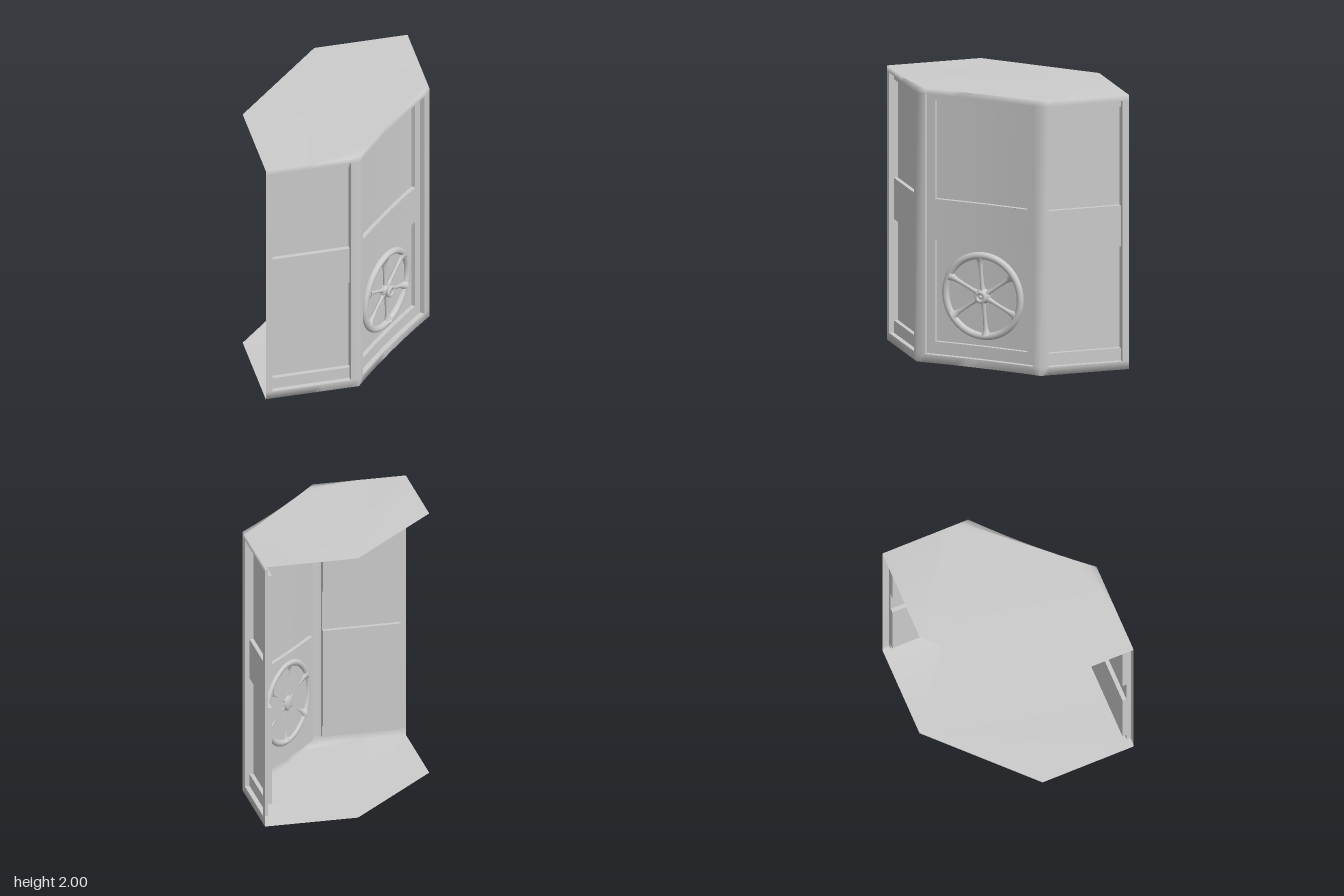
import * as THREE from 'three';
import { mergeGeometries, mergeVertices } from 'three/addons/utils/BufferGeometryUtils.js';

const material = new THREE.MeshStandardMaterial({ color: 0xcccccc, side: THREE.DoubleSide });
const H = 2, REC_Y0 = 0.06, REC_Y1 = 1.96;
const RECESS = 0.035, PANEL = 0.065;
const PANELS = [[0.15, 0.89], [1.19, 1.91]];
const SEGS = 8;

// Plan corners of the three walls, running left to right as seen from outside
const corners = [[-0.68, 0.68], [0, 0.68], [0.68, -0.02], [0.68, -0.68]];
// Recess margins and panel margins within the recess; the middle wall sags inward
const walls = [
  { name: 'frontWall', m0: 0.05, m1: 0.06, inset: 0, sag: 0 },
  { name: 'diagonalWall', m0: 0.062, m1: 0.062, inset: 0.062, sag: 0.018 },
  { name: 'rightWall', m0: 0.06, m1: 0.05, inset: 0, sag: 0 },
];

walls.forEach((w, i) => {
  const a = new THREE.Vector2(...corners[i]), b = new THREE.Vector2(...corners[i + 1]);
  w.length = a.distanceTo(b);
  const r = b.clone().sub(a).normalize();
  w.normal = new THREE.Vector3(-r.y, 0, r.x);
  // wall coordinates (along, up, depth inward) to model space
  w.at = (u, y, d) => {
    const t = u / w.length, depth = d + w.sag * 4 * t * (1 - t);
    return new THREE.Vector3(a.x + r.x * u - w.normal.x * depth, y, a.y + r.y * u - w.normal.z * depth);
  };
  w.u0 = w.m0;
  w.u1 = w.length - w.m1;
  w.us = [0];
  for (let k = 0; k <= SEGS; k++) w.us.push(w.u0 + (w.u1 - w.u0) * k / SEGS);
  w.us.push(w.length);
});

function mesh(geometry, name) {
  const m = new THREE.Mesh(geometry, material);
  m.name = name;
  return m;
}

// Sheet spanned by two edge vectors in wall coordinates
function patch(w, o, e1, e2, segs = SEGS) {
  const g = new THREE.PlaneGeometry(1, 1, segs, 1);
  const p = g.attributes.position;
  for (let i = 0; i < p.count; i++) {
    const s = p.getX(i) + 0.5, t = p.getY(i) + 0.5;
    const q = o.map((v, k) => v + e1[k] * s + e2[k] * t);
    p.setXYZ(i, ...w.at(...q).toArray());
  }
  g.computeVertexNormals();
  return g;
}

const flat = (w, u0, u1, y0, y1, d) => patch(w, [u0, y0, d], [u1 - u0, 0, 0], [0, y1 - y0, 0]);

// Four sides of a rectangular step between two depths
function step(w, u0, u1, y0, y1, d0, d1) {
  const du = u1 - u0, dy = y1 - y0, dd = d1 - d0;
  return [
    patch(w, [u0, y0, d1], [du, 0, 0], [0, 0, -dd]),
    patch(w, [u0, y1, d0], [du, 0, 0], [0, 0, dd]),
    patch(w, [u0, y0, d0], [0, 0, dd], [0, dy, 0], 1),
    patch(w, [u1, y0, d1], [0, 0, -dd], [0, dy, 0], 1),
  ];
}

// Recessed field of a wall with two deeper panels
function recess(w) {
  const p0 = w.u0 + w.inset, p1 = w.u1 - w.inset;
  const parts = step(w, w.u0, w.u1, REC_Y0, REC_Y1, 0, RECESS);
  const rails = [REC_Y0, ...PANELS.flat(), REC_Y1];
  for (let i = 0; i < rails.length; i += 2) {
    parts.push(flat(w, w.u0, w.u1, rails[i], rails[i + 1], RECESS));
  }
  for (const [y0, y1] of PANELS) {
    parts.push(...step(w, p0, p1, y0, y1, RECESS, PANEL), flat(w, p0, p1, y0, y1, PANEL));
    if (w.inset) parts.push(flat(w, w.u0, p0, y0, y1, RECESS), flat(w, p1, w.u1, y0, y1, RECESS));
  }
  return mesh(mergeGeometries(parts), w.name + 'Panels');
}

// Wall borders, roof and floor welded into one smooth shell
function shell() {
  const parts = [], outline = [];
  const ys = [0, REC_Y0, REC_Y1, H];
  for (const w of walls) {
    for (let i = 0; i < w.us.length - 1; i++) {
      for (let j = 0; j < 3; j++) {
        if (j === 1 && i > 0 && i < w.us.length - 2) continue;
        parts.push(patch(w, [w.us[i], ys[j], 0], [w.us[i + 1] - w.us[i], 0, 0], [0, ys[j + 1] - ys[j], 0], 1));
      }
      outline.push(w.at(w.us[i], 0, 0));
    }
  }
  // open back corners close the plan
  for (const [x, z] of [[0.68, -0.68], [0, -0.68], [-0.68, -0.02]]) outline.push(new THREE.Vector3(x, 0, z));
  const plan = new THREE.Shape(outline.map(v => new THREE.Vector2(v.x, -v.z)));
  const roof = new THREE.ShapeGeometry(plan).rotateX(-Math.PI / 2).translate(0, H, 0);
  const floor = new THREE.ShapeGeometry(plan).rotateX(-Math.PI / 2);
  const ix = floor.index.array;
  for (let i = 0; i < ix.length; i += 3) [ix[i], ix[i + 1]] = [ix[i + 1], ix[i]];
  const merged = mergeGeometries([...parts, roof, floor]);
  merged.deleteAttribute('normal');
  merged.deleteAttribute('uv');
  const g = mergeVertices(merged, 1e-4);
  g.computeVertexNormals();
  return mesh(g, 'cabinetShell');
}

const lathe = (pts, n) => new THREE.LatheGeometry(pts.map(p => new THREE.Vector2(...p)), n);

// Six-spoked wheel set against the lower middle panel
function wheel() {
  const g = new THREE.Group();
  g.name = 'wheel';
  const rim = mesh(new THREE.TorusGeometry(0.294, 0.026, 12, 64), 'wheelRim');
  g.add(rim);
  const hub = lathe([[0, -0.03], [0.04, -0.03], [0.055, -0.015], [0.055, 0.012], [0.04, 0.02], [0.04, 0.03],
    [0.046, 0.035], [0.046, 0.048], [0.038, 0.055], [0.022, 0.055], [0.02, 0.04], [0.012, 0.04], [0.01, 0.05], [0, 0.05]], 24);
  g.add(mesh(hub.rotateX(Math.PI / 2), 'wheelHub'));
  const spoke = lathe([[0.022, 0.04], [0.014, 0.09], [0.013, 0.17], [0.017, 0.23], [0.024, 0.26], [0.04, 0.285]], 10);
  spoke.scale(1, 1, 0.9);
  for (let i = 0; i < 6; i++) {
    const s = mesh(spoke, 'wheelSpoke');
    s.rotation.z = THREE.MathUtils.degToRad(5 + 60 * i);
    g.add(s);
  }
  const w = walls[1];
  g.position.copy(w.at(w.length / 2, 0.515, PANEL - 0.012));
  g.rotation.y = Math.atan2(w.normal.x, w.normal.z);
  return g;
}

export function createModel() {
  const group = new THREE.Group();
  group.name = 'cabinet';
  group.add(shell(), ...walls.map(recess), wheel());
  return group;
}
